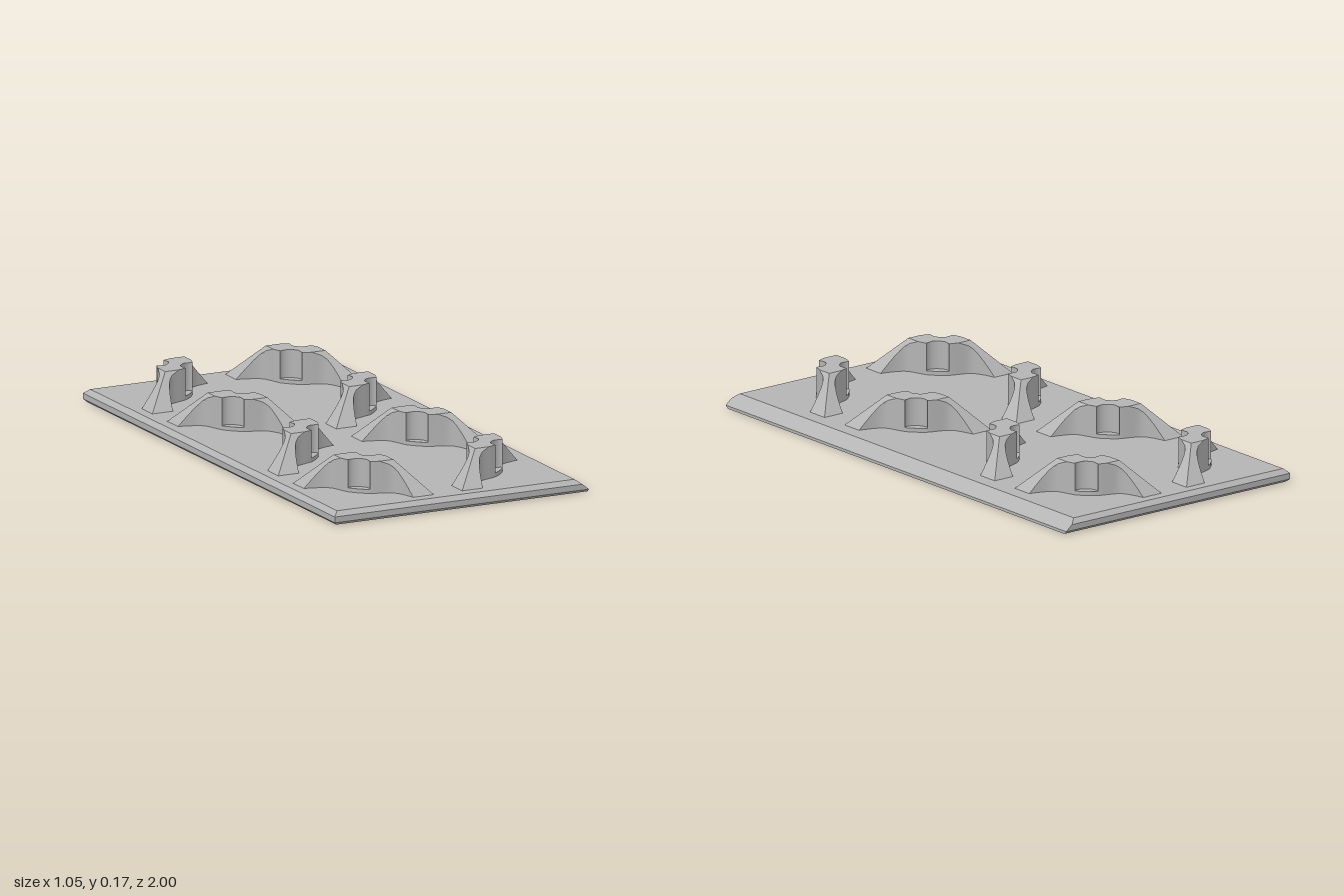
import * as THREE from 'three';
import { toCreasedNormals } from 'three/addons/utils/BufferGeometryUtils.js';

// Stitch closed loops of points (counterclockwise from above, bottom to top) and cap the ends
function loft(loops, capBottom) {
  const out = [];
  const tri = (a, b, c) => {
    const n = b.clone().sub(a).cross(c.clone().sub(a));
    if (n.length() > 1e-9) for (const p of [a, b, c]) out.push(p.x, p.y, p.z);
  };
  const count = loops[0].length;
  const middle = (loop) => loop.reduce((m, p) => m.add(p), new THREE.Vector3()).divideScalar(count);
  const low = loops[0], high = loops[loops.length - 1];
  const lowMid = middle(low), highMid = middle(high);
  for (let i = 0; i < count; i++) {
    const j = (i + 1) % count;
    for (let k = 0; k + 1 < loops.length; k++) {
      tri(loops[k][i], loops[k][j], loops[k + 1][j]);
      tri(loops[k][i], loops[k + 1][j], loops[k + 1][i]);
    }
    tri(highMid, high[i], high[j]);
    if (capBottom) tri(lowMid, low[j], low[i]);
  }
  const geometry = new THREE.BufferGeometry();
  geometry.setAttribute('position', new THREE.Float32BufferAttribute(out, 3));
  return toCreasedNormals(geometry, 0.5);
}

const BASE_TOP = 0.05, CLIP_TOP = 0.171, SHELF = 0.065, NOTCH = 0.042;

// Bevelled base: wide chamfer on the +x edge, small chamfers on the others
function baseGeometry() {
  const levels = [ // height, inset of three sides, inset of +x side
    [0, 0.012, 0], [0.011, 0, 0], [0.033, 0, 0.027], [BASE_TOP, 0.019, 0.05],
  ];
  return loft(levels.map(([y, a, b]) => {
    const x0 = -0.524 + a, x1 = 0.524 - b, z = 1 - a;
    return [[x0, z], [x1, z], [x1, -z], [x0, -z]].map(([x, zz]) => new THREE.Vector3(x, y, zz));
  }), true);
}

// Half width of a clip along its length: bulged middle, narrow necks, flared feet
const profile = new THREE.SplineCurve([
  [0, 0.06], [0.04, 0.056], [0.075, 0.04], [0.118, 0.022], [0.16, 0.032], [0.21, 0.06], [0.23, 0.074],
].map(([s, w]) => new THREE.Vector2(s, w)));

function halfWidth(s) {
  let a = 0, b = 1;
  for (let i = 0; i < 30; i++) {
    const m = (a + b) / 2;
    if (profile.getPoint(m).x < s) a = m; else b = m;
  }
  return profile.getPoint(a).y;
}

// Outline of a clip at one height; its pointed ends lean inward as it rises
function clipLoop(y, notched) {
  const t = (y - BASE_TOP) / (CLIP_TOP - BASE_TOP);
  const tip = THREE.MathUtils.lerp(0.191, 0.081, t) * Math.SQRT2;
  let a = 0, b = 0.23;
  for (let i = 0; i < 30; i++) {
    const m = (a + b) / 2;
    if (m + halfWidth(m) < tip) a = m; else b = m;
  }
  const half = [];
  for (let i = 0; i <= 6; i++) half.push(NOTCH * Math.sin(i / 6 * Math.PI / 2));
  for (let i = 1; i <= 10; i++) half.push(NOTCH + (a - NOTCH) * i / 10);
  const all = [...half.slice(1).reverse().map((s) => -s), ...half];
  const side = all.map((s) => {
    let w = halfWidth(Math.abs(s));
    if (notched && Math.abs(s) < NOTCH) {
      w = Math.min(w, 0.055 - 0.7 * Math.sqrt(NOTCH * NOTCH - s * s));
    }
    return new THREE.Vector3(s, y, w);
  });
  const back = side.map((p) => new THREE.Vector3(-p.x, y, -p.z));
  return [...side, new THREE.Vector3(tip, y, 0), ...back, new THREE.Vector3(-tip, y, 0)];
}

function clipGeometry() {
  const loops = [clipLoop(BASE_TOP, false), clipLoop(SHELF, false)];
  for (let i = 0; i <= 8; i++) loops.push(clipLoop(SHELF + (CLIP_TOP - SHELF) * i / 8, true));
  return loft(loops, false);
}

export function createModel() {
  const model = new THREE.Group();
  model.name = 'clipPlate';
  const grey = new THREE.MeshStandardMaterial({ color: 0xb4b4b4 });
  grey.name = 'grey';

  const base = new THREE.Mesh(baseGeometry(), grey);
  base.name = 'basePlate';
  model.add(base);

  // Diagonal clips in four rows, alternating direction
  const geometry = clipGeometry();
  for (let row = 0; row < 4; row++) {
    for (let col = 0; col < 2; col++) {
      const clip = new THREE.Mesh(geometry, grey);
      clip.name = `clip${row * 2 + col + 1}`;
      clip.position.set(col ? 0.224 : -0.275, 0, -0.752 + row * 0.5);
      clip.rotation.y = ((row + col) % 2 ? -1 : 1) * Math.PI / 4;
      model.add(clip);
    }
  }
  return model;
}
